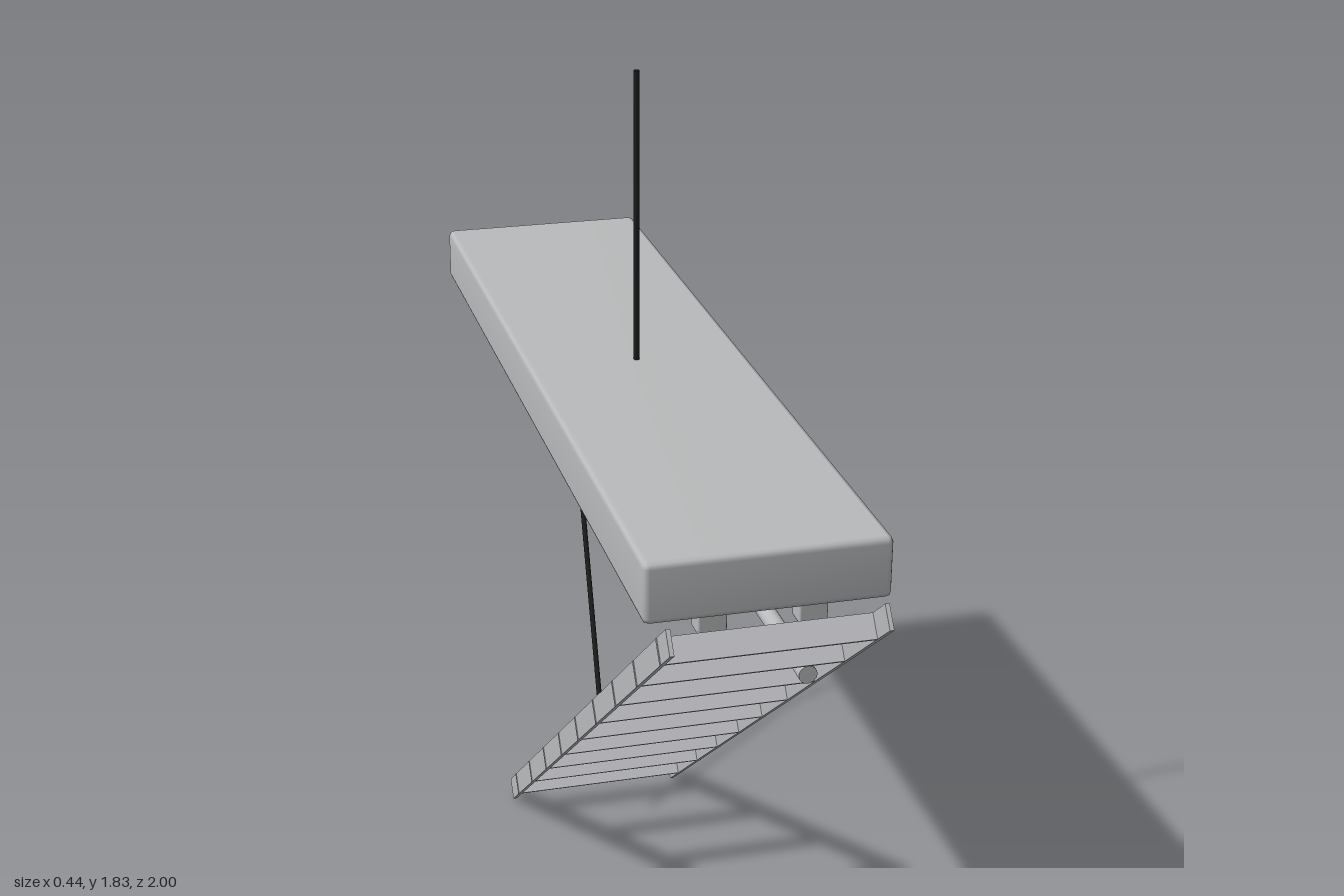
import * as THREE from 'three';
import { RoundedBoxGeometry } from 'three/addons/geometries/RoundedBoxGeometry.js';
import { mergeVertices } from 'three/addons/utils/BufferGeometryUtils.js';

export function createModel() {
  const model = new THREE.Group();
  model.name = 'hangingRackWithLadder';

  const material = (name, color) => {
    const m = new THREE.MeshStandardMaterial({ color });
    m.name = name;
    return m;
  };
  const grey = material('paintedGrey', 0xb8babb);
  const rungGrey = material('paleRung', 0xc0c0c6);
  const black = material('blackCord', 0x1c1c1c);

  const add = (parent, name, geometry, mat, x = 0, y = 0, z = 0) => {
    const mesh = new THREE.Mesh(geometry, mat);
    mesh.name = name;
    mesh.position.set(x, y, z);
    parent.add(mesh);
    return mesh;
  };

  // Round bar between two points
  const bar = (name, a, b, radius, mat, sides = 16) => {
    const from = new THREE.Vector3(...a), to = new THREE.Vector3(...b);
    const dir = to.clone().sub(from);
    const mesh = add(model, name, new THREE.CylinderGeometry(radius, radius, dir.length(), sides), mat);
    mesh.position.copy(from).add(to).multiplyScalar(0.5);
    mesh.quaternion.setFromUnitVectors(new THREE.Vector3(0, 1, 0), dir.normalize());
    return mesh;
  };

  // Long housing with softly blended bevels
  let housing = new RoundedBoxGeometry(0.44, 0.115, 1.84, 1, 0.012);
  housing.deleteAttribute('normal');
  housing.deleteAttribute('uv');
  housing = mergeVertices(housing, 1e-4);
  housing.computeVertexNormals();
  add(model, 'housing', housing, grey, 0, 1.185, 0);

  // Four bracket blocks under the housing
  for (const x of [-0.09, 0.09]) {
    for (const z of [-0.866, 0.866]) {
      add(model, 'bracket', new RoundedBoxGeometry(0.052, 0.05, 0.044, 1, 0.004), grey, x, 1.105, z);
    }
  }

  // Rail held by the brackets and the lower loose pole
  bar('upperRail', [-0.09, 1.1, -0.85], [-0.09, 1.1, 0.85], 0.017, grey);
  bar('lowerPole', [0.147, 0.873, -1], [0.147, 0.873, 0.7], 0.018, grey);

  // Sloping ladder, built lying along its local z axis
  const foot = new THREE.Vector3(0, 0.0185, -0.428);
  const top = new THREE.Vector3(0, 1.128, 0.9855);
  const ladder = new THREE.Group();
  ladder.name = 'ladder';
  ladder.position.copy(foot);
  const slope = Math.atan2(top.y - foot.y, top.z - foot.z);
  ladder.rotation.x = -slope;
  const length = foot.distanceTo(top);
  for (const side of [-1, 1]) {
    add(ladder, 'ladderRail', new THREE.BoxGeometry(0.008, 0.047, length), grey, side * 0.191, 0, length / 2);
  }
  for (let i = 0; i < 9; i++) {
    const height = 0.073 + i * 0.126;
    add(ladder, 'rung', new THREE.BoxGeometry(0.392, 0.047, 0.008), rungGrey,
      0, 0, (height - foot.y) / Math.sin(slope));
  }
  model.add(ladder);

  // Hanging cord above and the slack pull cord below
  bar('hangingCord', [0, 1.23, 0], [0, 1.83, 0], 0.006, black, 10);
  const knee = [0.027, 0.652, -0.631];
  bar('pullCordUpper', [0, 1.13, -0.777], knee, 0.006, black, 10);
  bar('pullCordLower', knee, [0, 0.135, -0.297], 0.006, black, 10);
  add(model, 'pullCordKnee', new THREE.SphereGeometry(0.006, 10, 8), black, ...knee);

  return model;
}
